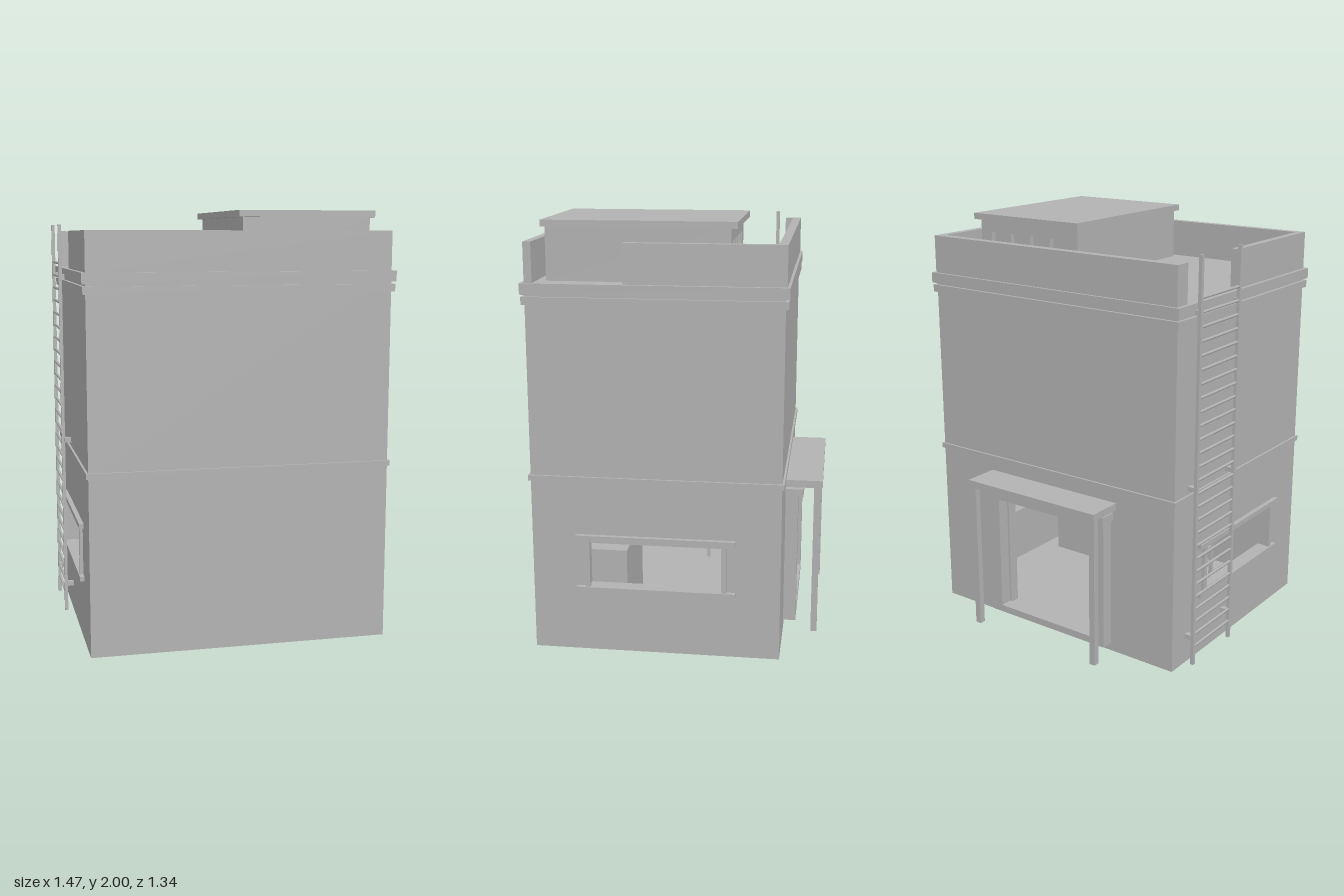
import * as THREE from 'three';

const concrete = new THREE.MeshStandardMaterial({ color: 0xb3b3b3 });
concrete.name = 'concrete grey';

export function createModel() {
  const model = new THREE.Group();
  model.name = 'blockhouse';

  const add = (name, geometry) => {
    const mesh = new THREE.Mesh(geometry, concrete);
    mesh.name = name;
    model.add(mesh);
    return mesh;
  };

  // Box given by its limits on each axis
  const box = (name, x0, x1, y0, y1, z0, z1) => add(name,
    new THREE.BoxGeometry(x1 - x0, y1 - y0, z1 - z0)
      .translate((x0 + x1) / 2, (y0 + y1) / 2, (z0 + z1) / 2));

  // Upright wall panel [left, right, bottom, top] with rectangular holes
  const panel = ([l, r, b, t], holes, depth) => {
    const outline = (path, a, c, d, e) =>
      path.moveTo(a, d).lineTo(c, d).lineTo(c, e).lineTo(a, e).closePath();
    const shape = new THREE.Shape();
    outline(shape, l, r, b, t);
    for (const h of holes) {
      const hole = new THREE.Path();
      outline(hole, ...h);
      shape.holes.push(hole);
    }
    return new THREE.ExtrudeGeometry(shape, { depth, bevelEnabled: false });
  };

  const X0 = -0.69, X1 = 0.71, Z0 = -0.495, Z1 = 0.655, T = 0.05;

  // Ground floor: slab, plain front, door in the back, a window in each side
  box('floor', X0, X1, 0, 0.04, Z0, Z1);
  box('frontWall', X0, X1, 0.04, 0.82, Z1 - T, Z1);
  add('backWall', panel([X0, X1, 0.04, 0.82], [[-0.27, 0.29, 0.07, 0.68]], T)).position.z = Z0;
  for (const [side, x] of [['left', X1 - T], ['right', X0]]) {
    const wall = panel([-Z1 + T, -Z0 - T, 0.04, 0.82], [[-0.39, 0.225, 0.32, 0.54]], T);
    add(side + 'Wall', wall.rotateY(Math.PI / 2)).position.x = x;
  }

  // Upper storey and the bands around the building
  box('upperStorey', X0, X1, 0.82, 1.7, Z0, Z1);
  const band = (name, y0, y1, out) =>
    box(name, X0 - out, X1 + out, y0, y1, Z0 - out, Z1 + out);
  band('middleBand', 0.825, 0.85, 0.01);
  band('lowerCornice', 1.635, 1.67, 0.014);
  band('roofSlab', 1.68, 1.73, 0.018);

  // Parapet with a gap at the ladder and one beside the roof hut
  const P = 0.036, top = 1.91;
  box('frontParapet', X0, X1, 1.73, top, Z1 - P, Z1);
  box('backParapet', X0, X1, 1.73, top, Z0 - 0.005, Z0 + P);
  box('leftParapet', X1 - P, X1, 1.73, top, Z0 + P, 0.215);
  box('rightParapet', X0, X0 + P, 1.73, top, 0, Z1 - P);
  box('rightParapetStub', X0, X0 + P, 1.73, top, Z0 + P, -0.42);

  // Roof hut with a row of recessed openings in its back
  box('hutBody', 0.03, 0.63, 1.73, 1.97, -0.225, 0.575);
  const slots = [0, 1, 2, 3].map((i) => [0.095 + i * 0.123, 0.195 + i * 0.123, 1.77, 1.91]);
  add('hutBackWall', panel([0.03, 0.63, 1.73, 1.97], slots, 0.025)).position.z = -0.25;
  box('hutRoof', 0.01, 0.65, 1.97, 2, -0.28, 0.59);

  // Window surrounds on both sides
  for (const [side, face, dir] of [['left', X1, 1], ['right', X0, -1]]) {
    const strip = (name, out, y0, y1, z0, z1) => {
      const a = face - dir * 0.01, b = face + dir * out;
      box(side + name, Math.min(a, b), Math.max(a, b), y0, y1, z0, z1);
    };
    strip('WindowLintel', 0.022, 0.55, 0.572, -0.29, 0.45);
    strip('WindowSill', 0.022, 0.297, 0.32, -0.29, 0.45);
    strip('WindowHead', 0.005, 0.533, 0.55, -0.225, 0.385);
    strip('WindowFrontJamb', 0.016, 0.32, 0.55, 0.385, 0.405);
    strip('WindowBackJamb', 0.016, 0.32, 0.55, -0.25, -0.225);
  }

  // Doorway frame, lintel, canopy and posts
  const door = panel([-0.34, 0.36, 0.04, 0.68], [[-0.28, 0.3, 0.075, 0.65]], 0.065);
  add('doorFrame', door).position.z = -0.555;
  box('doorLintel', -0.355, 0.375, 0.68, 0.72, -0.58, Z0);
  box('canopy', -0.37, 0.39, 0.735, 0.77, -0.67, Z0);
  for (const x of [-0.35, 0.37]) {
    box('canopyPost', x - 0.015, x + 0.015, 0, 0.735, -0.66, -0.63);
  }

  // Room contents: a crate and an open shelf
  box('crate', 0.15, 0.57, 0.04, 0.445, 0.24, 0.5);
  for (const y of [0.12, 0.24, 0.36, 0.44, 0.52]) {
    box('shelfBoard', -0.62, -0.42, y, y + 0.018, -0.44, -0.03);
  }
  for (const x of [-0.62, -0.435]) {
    for (const z of [-0.44, -0.045]) {
      box('shelfPost', x, x + 0.015, 0.04, 0.54, z, z + 0.018);
    }
  }

  // Ladder up the right side
  for (const z of [-0.375, -0.047]) {
    box('ladderRail', -0.736, -0.72, 0, 1.94, z - 0.009, z + 0.009);
    for (const y of [0.14, 0.88, 1.69]) {
      box('ladderBracket', -0.722, X0, y - 0.011, y + 0.011, z - 0.013, z + 0.013);
    }
  }
  const rung = new THREE.CylinderGeometry(0.007, 0.007, 0.328, 8).rotateX(Math.PI / 2);
  for (let i = 0; i < 27; i++) {
    add('ladderRung', rung).position.set(-0.728, 0.09 + i * 0.064, -0.211);
  }

  // Centre the footprint
  model.position.set(0, 0, 0);
  return model;
}
